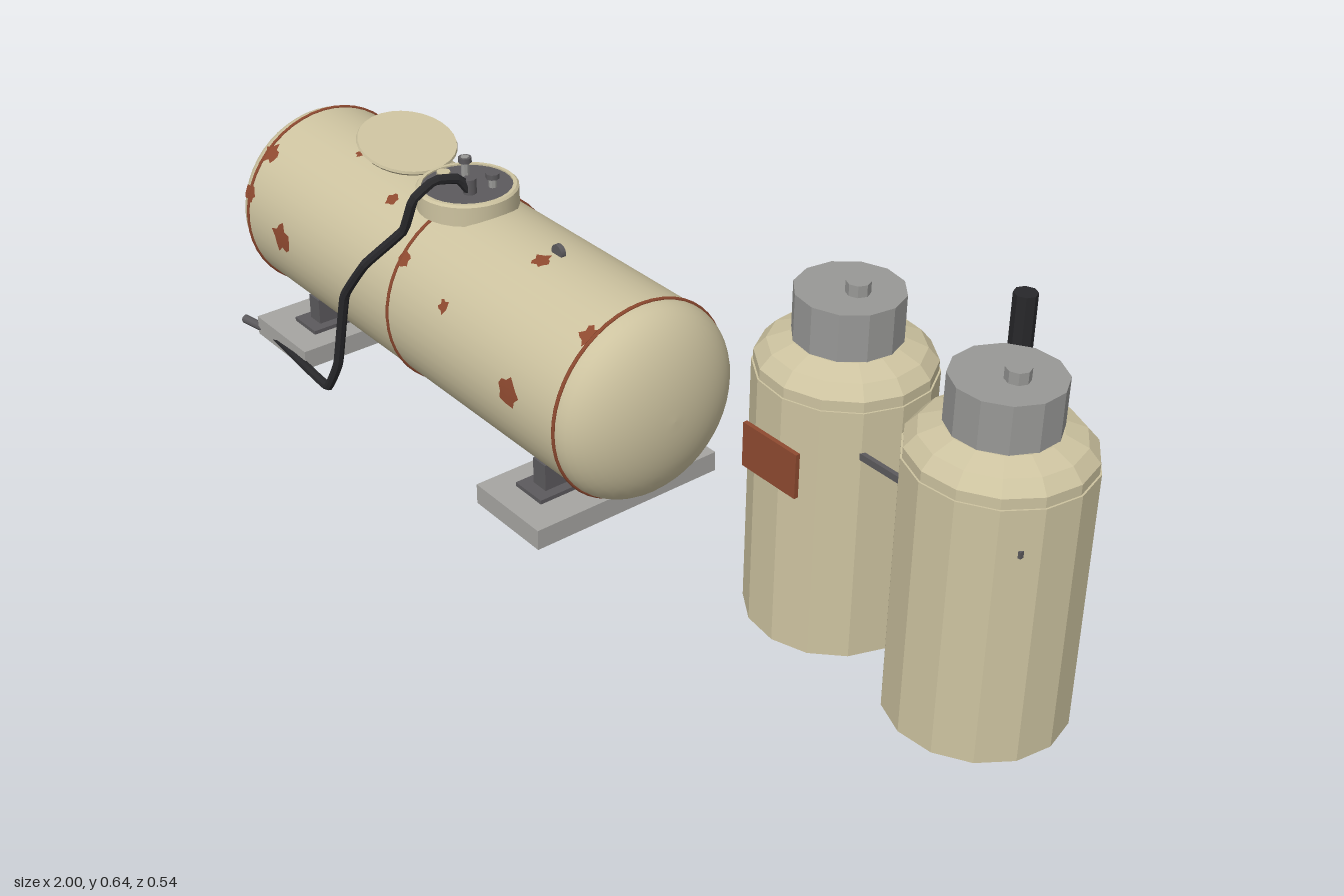
import * as THREE from 'three';

const mat = (name, color, extra = {}) => {
  const m = new THREE.MeshStandardMaterial({ color, ...extra });
  m.name = name;
  return m;
};

export function createModel() {
  const root = new THREE.Group();
  const cream = mat('cream paint', 0xcdc3a0);
  const creamFlat = mat('cream paint faceted', 0xcdc3a0, { flatShading: true });
  const rust = mat('rust', 0x8f4a30, { side: THREE.DoubleSide });
  const concrete = mat('concrete', 0xa6a5a2);
  const metal = mat('grey metal', 0x989896, { flatShading: true });
  const steel = mat('dark steel', 0x5c5a5d);
  const rubber = mat('black rubber', 0x28282b, { flatShading: true });

  const add = (parent, name, geo, material, x = 0, y = 0, z = 0) => {
    const m = new THREE.Mesh(geo, material);
    m.name = name;
    m.position.set(x, y, z);
    parent.add(m);
    return m;
  };
  const group = (name, x, y, z) => {
    const g = new THREE.Group();
    g.name = name;
    g.position.set(x, y, z);
    root.add(g);
    return g;
  };
  const cyl = (r, h, n) => new THREE.CylinderGeometry(r, r, h, n);
  const lathe = (pts, n) => new THREE.LatheGeometry(pts.map(([r, y]) => new THREE.Vector2(r, y)), n);

  // Horizontal tank: straight barrel with elliptical ends
  const R = 0.188, HALF = 0.51, CAP = 0.095;
  const tank = group('tank', -0.395, 0.247, 0.05);
  const profile = [];
  for (let i = 0; i <= 12; i++) {
    const a = (i / 12) * Math.PI / 2;
    profile.push([R * Math.sin(a), -HALF - CAP * Math.cos(a)]);
  }
  for (let i = 12; i >= 0; i--) {
    const a = (i / 12) * Math.PI / 2;
    profile.push([R * Math.sin(a), HALF + CAP * Math.cos(a)]);
  }
  add(tank, 'tankShell', lathe(profile, 48), cream).rotation.z = -Math.PI / 2;

  // Rusty weld seams
  for (const x of [-HALF, 0, HALF]) {
    add(tank, 'weldSeam', new THREE.TorusGeometry(R, 0.004, 6, 48), rust, x).rotation.y = Math.PI / 2;
  }

  // Ragged rust patches wrapped on the barrel: x, angle above the front, size
  const patch = (x, angle, size, seed) => {
    const n = 13, r = R + 0.002, pos = [], idx = [];
    const put = (u, v) => {
      const a = angle + v / r;
      pos.push(x + u, r * Math.sin(a), r * Math.cos(a));
    };
    put(0, 0);
    for (let i = 0; i < n; i++) {
      const t = (i / n) * Math.PI * 2;
      const k = size * (0.84 + 0.2 * Math.sin(i * 2.3 + seed) + 0.08 * Math.cos(i * 4.1 + seed));
      put(k * Math.cos(t), k * Math.sin(t));
      idx.push(0, 1 + i, 1 + (i + 1) % n);
    }
    const g = new THREE.BufferGeometry();
    g.setAttribute('position', new THREE.Float32BufferAttribute(pos, 3));
    g.setIndex(idx);
    g.computeVertexNormals();
    add(tank, 'rustPatch', g, rust);
  };
  [
    [-0.38, 0.06, 0.033], [0.38, 0.12, 0.031], [0.16, 0.48, 0.015], [0.01, 0.65, 0.018],
    [-0.495, 0.8, 0.023], [-0.508, 0.31, 0.021], [0.5, 1.0, 0.022], [-0.12, 1.08, 0.016],
    [0.277, 1.38, 0.02], [-0.295, 1.33, 0.013],
  ].forEach(([x, a, s], i) => patch(x, a, s, i * 1.7));

  // Lifting lugs on the crown
  for (const x of [-0.285, 0.28]) {
    add(tank, 'liftingLug', cyl(0.015, 0.01, 12), steel, x, R + 0.004).rotation.x = Math.PI / 2;
  }

  // Saddles on concrete slabs
  for (const [slabX, postX] of [[-0.788, -0.78], [-0.008, -0.015]]) {
    const s = group('support', 0, 0, 0.05);
    add(s, 'slab', new THREE.BoxGeometry(0.185, 0.04, 0.405), concrete, slabX, 0.02);
    add(s, 'basePlate', new THREE.BoxGeometry(0.075, 0.008, 0.3), steel, postX, 0.044);
    add(s, 'saddlePost', new THREE.BoxGeometry(0.036, 0.055, 0.25), steel, postX, 0.0735);
  }

  // Manway collar with dark plate and fittings
  const manway = group('manway', -0.395, 0, 0.05);
  add(manway, 'collar', lathe([[0.096, 0.425], [0.096, 0.462], [0.096, 0.462], [0.092, 0.466],
    [0.092, 0.466], [0.085, 0.466], [0.085, 0.466], [0.085, 0.455]], 28), cream);
  add(manway, 'fittingPlate', cyl(0.086, 0.04, 28), steel, 0, 0.443);
  for (const [x, z, h] of [[-0.035, -0.02, 0.042], [0.035, -0.033, 0.03]]) {
    add(manway, 'valveStem', cyl(0.008, h, 8), metal, x, 0.46 + h / 2, z);
    add(manway, 'valveHead', cyl(0.013, 0.01, 8), steel, x, 0.46 + h * 0.85, z);
  }
  add(manway, 'gauge', cyl(0.013, 0.022, 10), creamFlat, -0.04, 0.472, 0.025);
  add(manway, 'hoseFitting', cyl(0.013, 0.035, 8), steel, 0.03, 0.475, 0.015);

  // Open lid lying upside down beside the manway
  const lid = add(root, 'lid', lathe([[0, -0.033], [0.04, -0.029], [0.07, -0.02], [0.09, -0.008],
    [0.097, 0], [0.097, 0], [0.095, 0.005], [0.095, 0.005], [0, 0.005]], 28), cream, -0.595, 0.475, 0.05);
  lid.rotation.z = -0.26;

  // Hose draped over the front of the tank and along the ground
  const hosePath = new THREE.CatmullRomCurve3([
    [-0.362, 0.465, 0.065], [-0.37, 0.495, 0.085], [-0.378, 0.503, 0.132], [-0.385, 0.475, 0.175],
    [-0.41, 0.405, 0.184], [-0.465, 0.33, 0.236], [-0.52, 0.245, 0.253], [-0.56, 0.08, 0.255],
    [-0.596, 0.012, 0.261], [-0.68, 0.011, 0.256], [-0.86, 0.012, 0.24],
  ].map(p => new THREE.Vector3(...p)), false, 'catmullrom', 0.15);
  add(root, 'hose', new THREE.TubeGeometry(hosePath, 70, 0.0095, 8), rubber);
  const nozzlePath = new THREE.LineCurve3(new THREE.Vector3(-0.855, 0.012, 0.24), new THREE.Vector3(-0.93, 0.014, 0.256));
  add(root, 'hoseNozzle', new THREE.TubeGeometry(nozzlePath, 1, 0.009, 8), steel);

  // Two upright gas bottles
  for (const [x, turn] of [[0.526, 0.1], [0.852, 0.3]]) {
    const b = group('gasBottle', x, 0, -0.03);
    add(b, 'bottleBody', lathe([[0, 0.02], [0.148, 0.02], [0.148, 0.48], [0.145, 0.48],
      [0.145, 0.498], [0.126, 0.52], [0.09, 0.535], [0, 0.535]], 14), creamFlat).rotation.y = turn;
    add(b, 'valveGuard', cyl(0.089, 0.082, 12), metal, 0, 0.575).rotation.y = turn;
    add(b, 'valveKnob', cyl(0.02, 0.022, 8), metal, 0.017, 0.625);
  }
  add(root, 'tieBar', new THREE.BoxGeometry(0.575, 0.012, 0.008), steel, 0.688, 0.404, 0.048);
  add(root, 'rustPlate', new THREE.BoxGeometry(0.122, 0.08, 0.008), rust, 0.526, 0.364, 0.122);

  // Pole behind the bottles
  add(root, 'pole', cyl(0.02, 0.604, 8), rubber, 0.688, 0.302, -0.248);

  return root;
}
